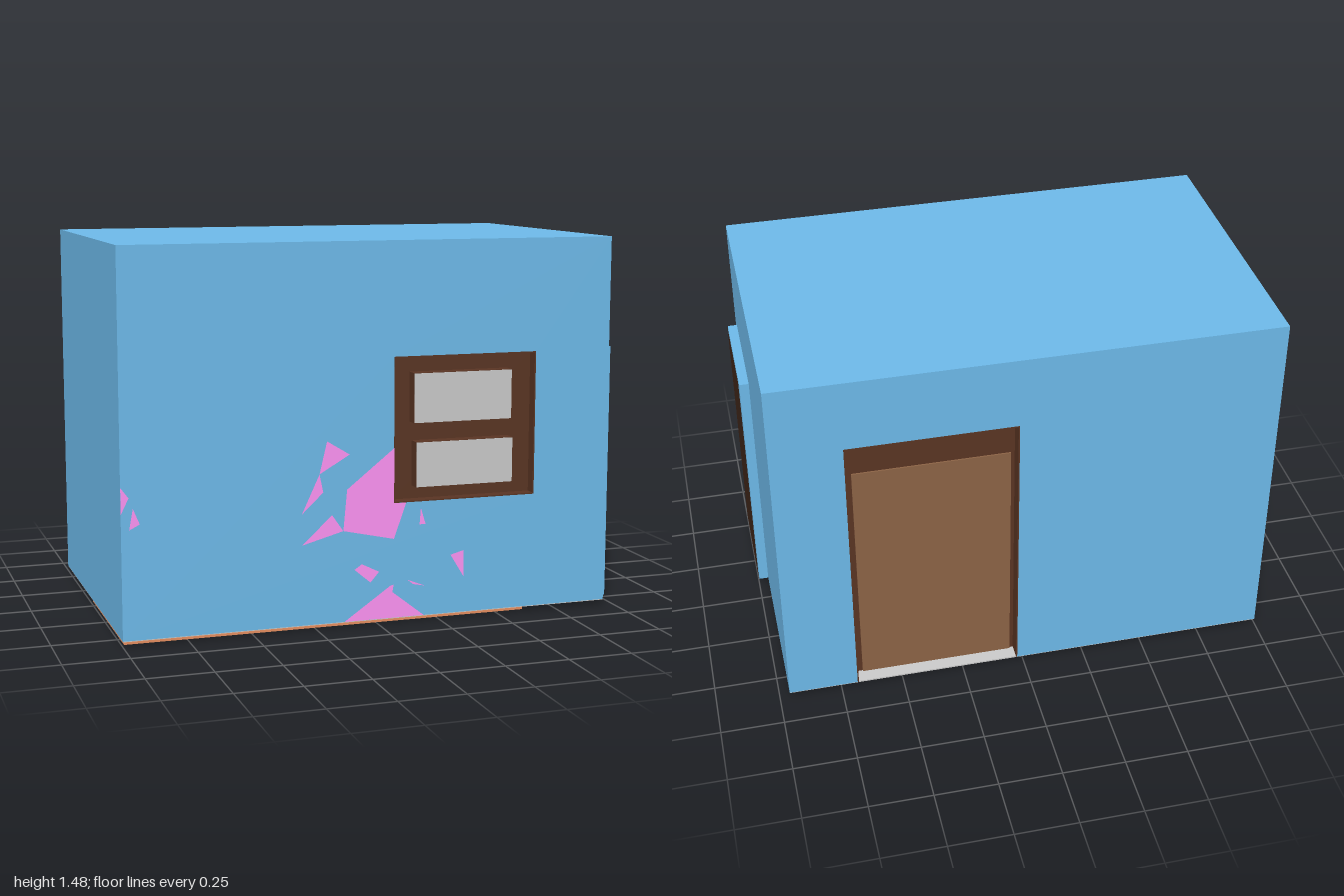
import * as THREE from 'three';

const mat = (color, side = THREE.FrontSide) => new THREE.MeshStandardMaterial({ color, side });
const BLUE = mat(0x6ebbeb), FRAME = mat(0x5a3523), DARK = mat(0x3e2519), WOOD = mat(0x8d6446);
const GREY = mat(0xcccccc), ORANGE = mat(0xe89060), PINK = mat(0xff94f5, THREE.DoubleSide);

// Room limits
const X0 = -1, X1 = 0.96, Y0 = 0.022, Y1 = 1.48, Z0 = -0.615, Z1 = 0.607;
const DOOR_Z = -0.55, WIN_Z = 0.56;

const polygon = (pts) => new THREE.Shape(pts.map(([x, y]) => new THREE.Vector2(x, y)));
const rect = (x0, x1, y0, y1) => [[x0, y0], [x1, y0], [x1, y1], [x0, y1]];

export function createModel() {
  const model = new THREE.Group();

  const add = (parent, name, geometry, material) => {
    const mesh = new THREE.Mesh(geometry, material);
    mesh.name = name;
    parent.add(mesh);
    return mesh;
  };
  // Box given by its limits on each axis
  const box = (parent, name, material, x0, x1, y0, y1, z0, z1) => {
    const mesh = add(parent, name, new THREE.BoxGeometry(x1 - x0, y1 - y0, z1 - z0), material);
    mesh.position.set((x0 + x1) / 2, (y0 + y1) / 2, (z0 + z1) / 2);
    return mesh;
  };
  const wall = (name, shape, z0, z1) => {
    const geometry = new THREE.ExtrudeGeometry(shape, { depth: z1 - z0, bevelEnabled: false });
    add(model, name, geometry, BLUE).position.z = z0;
  };
  const group = (name) => {
    const g = new THREE.Group();
    g.name = name;
    model.add(g);
    return g;
  };

  // Room body, with a window opening in front and a doorway at the back
  box(model, 'roomBody', BLUE, X0, X1, Y0, Y1, DOOR_Z, WIN_Z);
  const front = polygon(rect(X0, X1, Y0, Y1));
  front.holes.push(polygon(rect(0.06, 0.645, 0.475, 1.04)));
  wall('frontWall', front, WIN_Z, Z1);
  const dx0 = 0.025, dx1 = 0.685, dTop = 1.19;
  wall('backWall', polygon([[X0, Y0], [dx0, Y0], [dx0, dTop], [dx1, dTop], [dx1, Y0],
    [X1, Y0], [X1, Y1], [X0, Y1]]), Z0, DOOR_Z);
  box(model, 'floor', GREY, X0 + 0.001, X1 - 0.001, 0.019, 0.025, Z0 + 0.001, Z1 - 0.001);

  // Recessed window: backing, reveals and two protruding panes
  const win = group('window');
  const t = 0.005;
  box(win, 'windowBacking', FRAME, 0.06, 0.645, 0.475, 1.04, WIN_Z, WIN_Z + 0.004);
  for (const x of [0.06, 0.645 - t]) box(win, 'windowJamb', FRAME, x, x + t, 0.475, 1.04, WIN_Z, Z1 + 0.001);
  for (const y of [0.475, 1.04 - t]) box(win, 'windowReveal', FRAME, 0.06, 0.645, y, y + t, WIN_Z, Z1 + 0.001);
  for (const [x0, x1, y0, y1] of [[0.137, 0.54, 0.782, 0.975], [0.147, 0.547, 0.532, 0.708]]) {
    box(win, 'paneFrame', FRAME, x0, x1, y0, y1, WIN_Z, 0.616);
    box(win, 'pane', GREY, x0 + 0.001, x1 - 0.001, y0 + 0.001, y1 - 0.001, 0.615, 0.618);
  }

  // Recessed back door: frame, reveals and leaf
  const back = group('backDoor');
  box(back, 'doorFrame', FRAME, dx0, dx1, Y0, dTop, DOOR_Z - 0.006, DOOR_Z);
  box(back, 'doorLeaf', WOOD, dx0 + 0.02, dx1 - 0.03, Y0, 1.03, DOOR_Z - 0.012, DOOR_Z);
  for (const x of [dx0, dx1 - t]) box(back, 'doorJamb', FRAME, x, x + t, Y0, dTop, Z0 - 0.001, DOOR_Z);
  box(back, 'doorLintel', FRAME, dx0, dx1, dTop - t, dTop, Z0 - 0.001, DOOR_Z);
  box(back, 'doorSill', DARK, 0.04, 0.685, 0.016, 0.021, -0.58, -0.57);

  // Side door standing proud of the wall, with a dark outer face
  const side = group('sideDoor');
  box(side, 'sideDoorSlab', BLUE, X1, 0.998, Y0, 1.04, 0.1, 0.545);
  const leaf = new THREE.ShapeGeometry(polygon([[-0.545, Y0], [-0.105, Y0], [-0.12, 1.04], [-0.545, 1.04]]));
  leaf.rotateY(Math.PI / 2);
  add(side, 'sideDoorFace', leaf, DARK).position.x = 1.0;

  // Slab under the room
  box(model, 'baseSlab', ORANGE, -0.99, 0.62, 0, 0.02, -0.07, 0.575);

  // Paint patches on the front wall
  const patches = group('paintPatches');
  for (const pts of [
    [[-0.145, 0.38], [0.06, 0.335], [0.11, 0.475], [0.06, 0.475], [0.06, 0.69], [-0.13, 0.54]],
    [[-0.21, 0.73], [-0.24, 0.605], [-0.12, 0.675]],
    [[-0.24, 0.605], [-0.31, 0.455], [-0.225, 0.535]],
    [[-0.31, 0.335], [-0.145, 0.38], [-0.19, 0.445]],
    [[-0.1, 0.225], [-0.035, 0.17], [0, 0.21], [-0.07, 0.245]],
    [[-0.14, 0.023], [0.185, 0.023], [0.055, 0.125], [0.06, 0.155], [0.045, 0.15]],
    [[0.295, 0.255], [0.35, 0.165], [0.35, 0.27]],
    [[0.17, 0.45], [0.165, 0.385], [0.19, 0.385]],
    [[0.115, 0.17], [0.14, 0.15], [0.19, 0.14]],
    [[-1, 0.6], [-1, 0.5], [-0.97, 0.56]],
    [[-0.955, 0.52], [-0.97, 0.44], [-0.93, 0.46]],
  ]) add(patches, 'paintPatch', new THREE.ShapeGeometry(polygon(pts)), PINK).position.z = Z1 + 0.003;

  return model;
}
